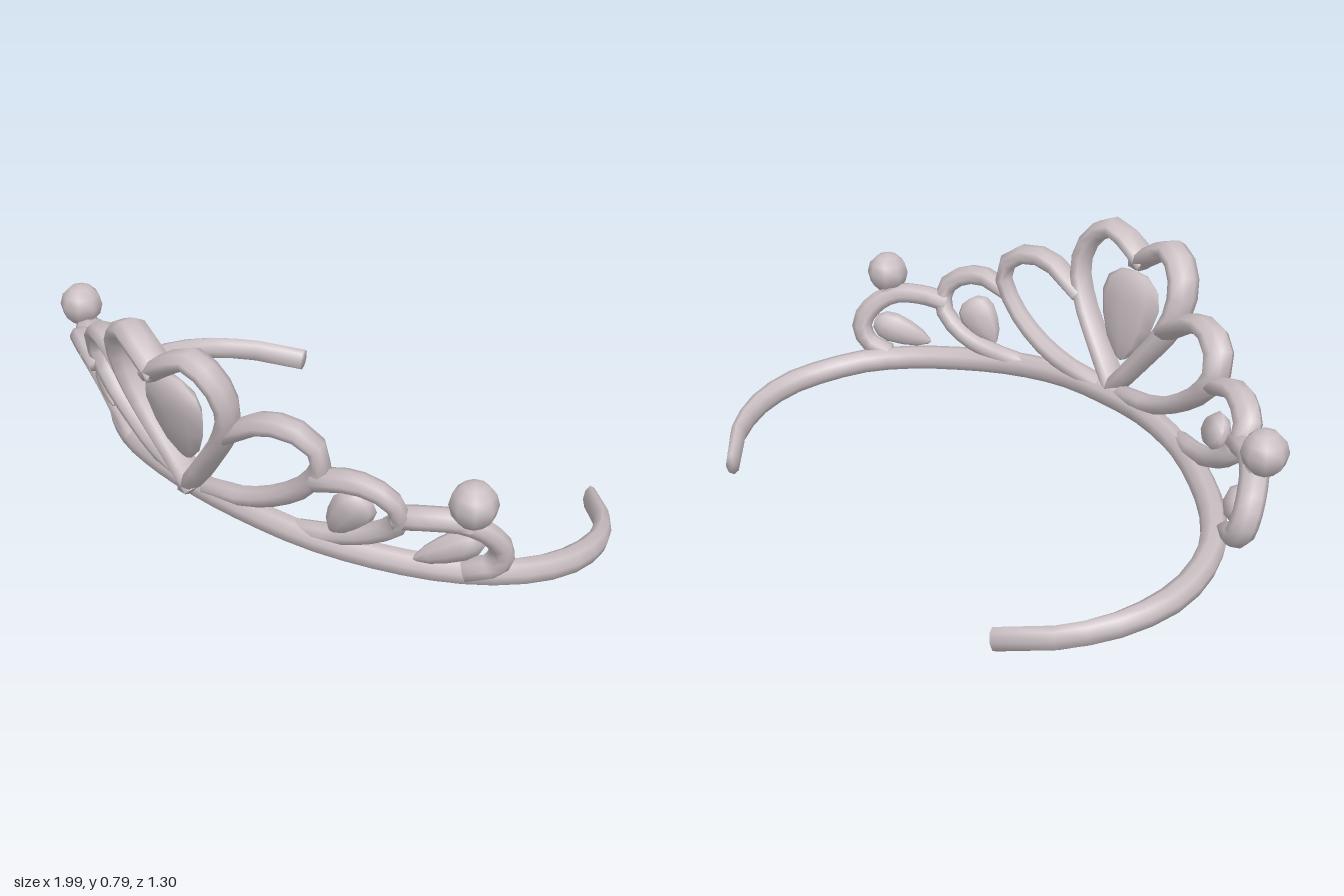
import * as THREE from 'three';
import { mergeVertices } from 'three/addons/utils/BufferGeometryUtils.js';

const metal = new THREE.MeshStandardMaterial({ color: 0xc9bec2 });
metal.name = 'pale rose silver';

// Tube through points, stretched in the radial (outward) direction and closed by blunt ends
function rod(name, points, radius, segments, stretch) {
  const path = new THREE.CatmullRomCurve3(points.map((p) => new THREE.Vector3(...p)), false, 'centripetal');
  const sides = 8;
  const geo = new THREE.TubeGeometry(path, segments, radius, sides, false);
  const pos = geo.attributes.position;
  const v = new THREE.Vector3();
  for (let i = 0; i <= segments; i++) {
    const t = i / segments;
    const c = path.getPointAt(t);
    const out = new THREE.Vector3(c.x, 0, c.z + 0.15).normalize();
    const endRing = i === 0 || i === segments;
    const capRing = i === 1 || i === segments - 1;
    const target = capRing ? path.getPointAt(i === 1 ? 0 : 1) : c;
    for (let j = 0; j <= sides; j++) {
      const k = i * (sides + 1) + j;
      v.fromBufferAttribute(pos, k).sub(c);
      v.addScaledVector(out, v.dot(out) * (stretch(t) - 1));
      if (endRing) v.set(0, 0, 0);
      v.add(target);
      pos.setXYZ(k, v.x, v.y, v.z);
    }
  }
  geo.deleteAttribute('uv');
  geo.deleteAttribute('normal');
  const smooth = mergeVertices(geo, 1e-5);
  smooth.computeVertexNormals();
  const mesh = new THREE.Mesh(smooth, metal);
  mesh.name = name;
  return mesh;
}

// Flattened teardrop stone: point at the bottom, centred on its own middle
function gem(name, width, height, depth, position, heading, lean, roll) {
  const profile = [[0, -0.5], [0.1, -0.46], [0.29, -0.3], [0.42, -0.08], [0.5, 0.18], [0.44, 0.36], [0.24, 0.48], [0, 0.5]];
  const geo = new THREE.LatheGeometry(profile.map(([r, y]) => new THREE.Vector2(r, y)), 8);
  geo.scale(width, height, depth);
  const mesh = new THREE.Mesh(geo, metal);
  mesh.name = name;
  mesh.position.set(...position);
  mesh.rotation.set(lean, heading, roll, 'YXZ');
  return mesh;
}

export function createModel() {
  const tiara = new THREE.Group();
  tiara.name = 'tiara';

  // Head band, open at the back and thinner towards its ends
  const halfBand = [
    [0.2, 0.228, 0.432], [0.42, 0.21, 0.378], [0.61, 0.19, 0.285], [0.765, 0.172, 0.175],
    [0.87, 0.155, 0.055], [0.93, 0.135, -0.08], [0.95, 0.122, -0.2], [0.922, 0.1, -0.36],
    [0.83, 0.073, -0.51], [0.685, 0.045, -0.63],
  ];
  const flip = (pts) => pts.map(([x, y, z]) => [-x, y, z]);
  const band = [...flip(halfBand).reverse(), [0, 0.23, 0.444], ...halfBand];
  tiara.add(rod('band', band, 0.042, 40, (t) => 0.35 + 0.65 * Math.min(1, 7 * Math.min(t, 1 - t))));

  // Openwork arches, listed for the left half and mirrored
  const ornament = new THREE.Group();
  ornament.name = 'ornament';
  ornament.position.x = -0.016;
  tiara.add(ornament);

  // Name, radius, outward stretch at the start and at the end, path
  const arches = [
    ['heartHalf', 0.034, 1.5, 1.7, [
      [-0.015, 0.235, 0.465], [0.1, 0.375, 0.485], [0.2, 0.51, 0.505], [0.24, 0.62, 0.525],
      [0.21, 0.72, 0.555], [0.13, 0.763, 0.578], [0.06, 0.725, 0.588], [-0.02, 0.675, 0.59]]],
    ['innerArch', 0.032, 1.8, 1.1, [
      [0.21, 0.52, 0.5], [0.32, 0.59, 0.485], [0.42, 0.61, 0.462], [0.495, 0.58, 0.43],
      [0.52, 0.52, 0.412], [0.46, 0.42, 0.41], [0.34, 0.33, 0.415], [0.2, 0.27, 0.432], [0.05, 0.245, 0.45]]],
    ['middleArch', 0.032, 1.7, 1.0, [
      [0.5, 0.455, 0.42], [0.6, 0.485, 0.398], [0.68, 0.475, 0.36], [0.735, 0.42, 0.32],
      [0.715, 0.35, 0.298], [0.62, 0.28, 0.31], [0.5, 0.24, 0.35], [0.38, 0.222, 0.395]]],
    ['outerArch', 0.035, 1.3, 1.3, [
      [0.71, 0.375, 0.31], [0.8, 0.39, 0.26], [0.88, 0.385, 0.195], [0.93, 0.335, 0.13],
      [0.943, 0.275, 0.095], [0.915, 0.215, 0.1], [0.84, 0.18, 0.14]]],
  ];

  for (const s of [1, -1]) {
    const side = s > 0 ? 'left' : 'right';
    for (const [name, radius, start, end, pts] of arches) {
      const stretch = (t) => start + (end - start) * t;
      ornament.add(rod(`${side} ${name}`, s > 0 ? pts : flip(pts), radius, 14, stretch));
    }

    // Ball on the outer arch, with a short neck
    const ball = new THREE.Mesh(new THREE.SphereGeometry(0.073, 8, 6), metal);
    ball.name = `${side} ball`;
    ball.position.set(s * 0.914, 0.46, 0.197);
    ornament.add(ball);
    const neck = new THREE.Mesh(new THREE.CylinderGeometry(0.03, 0.04, 0.07, 8, 1, true), metal);
    neck.name = `${side} neck`;
    neck.position.set(s * 0.895, 0.41, 0.19);
    ornament.add(neck);
  }

  // Stones inside the smaller arches, tilted a little differently on each side
  ornament.add(gem('left middleGem', 0.14, 0.185, 0.08, [0.565, 0.337, 0.352], 0.6, 0.2, -0.6));
  ornament.add(gem('right middleGem', 0.13, 0.21, 0.08, [-0.568, 0.343, 0.352], -0.6, 0.2, 1.15));
  ornament.add(gem('left outerGem', 0.11, 0.22, 0.08, [0.815, 0.262, 0.185], 0.85, 0.2, -1.2));
  ornament.add(gem('right outerGem', 0.12, 0.2, 0.08, [-0.822, 0.258, 0.185], -0.85, 0.2, 1.1));

  // Main stone hanging in the heart
  ornament.add(gem('heartGem', 0.27, 0.315, 0.085, [0, 0.498, 0.52], 0, 0.2, 0));

  return tiara;
}
